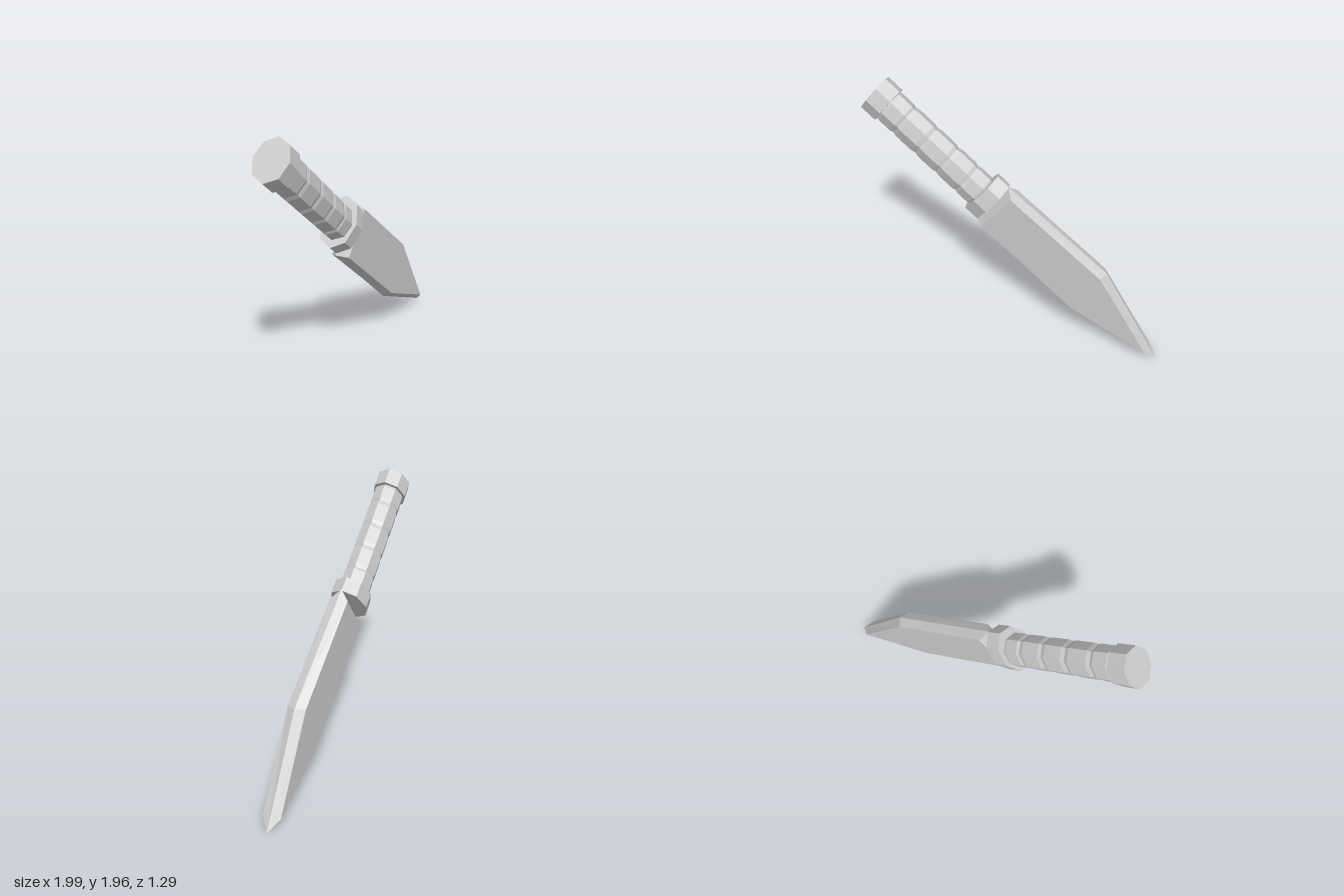
import * as THREE from 'three';

const material = new THREE.MeshStandardMaterial({ color: 0xcccccc, flatShading: true });

// Eight-sided oval part turned along the knife's long axis (+x).
// profile: [position along axis, radius] pairs; flat: width across the blade's thickness
function turnedPart(name, profile, flat) {
  const points = profile.map(([t, r]) => new THREE.Vector2(r, t));
  const geometry = new THREE.LatheGeometry(points, 8);
  geometry.rotateZ(-Math.PI / 2);
  geometry.scale(1, 1, flat);
  const mesh = new THREE.Mesh(geometry, material);
  mesh.name = name;
  return mesh;
}

// Blade: two flat cheeks bevelled down to a wider outline on the middle plane
function blade() {
  const cheek = [[1.21, -0.188], [2.134, -0.18], [2.769, -0.008], [2.071, 0.221], [1.205, 0.189]];
  const rim = [[1.13, -0.21], [2.145, -0.216], [2.877, -0.023], [2.09, 0.25], [1.13, 0.208]];
  const half = 0.068;
  const n = cheek.length;
  const positions = [];
  const triangle = (...corners) => corners.forEach((c) => positions.push(...c));

  for (const side of [1, -1]) {
    const inner = cheek.map(([x, y]) => [x, y, side * half]);
    const outer = rim.map(([x, y]) => [x, y, 0]);
    const face = (a, b, c) => (side > 0 ? triangle(a, b, c) : triangle(a, c, b));
    for (let i = 0; i < n; i++) {
      const j = (i + 1) % n;
      face(outer[i], outer[j], inner[j]);
      face(outer[i], inner[j], inner[i]);
      if (i > 0 && j > 0) face(inner[0], inner[i], inner[j]);
    }
  }
  const geometry = new THREE.BufferGeometry();
  geometry.setAttribute('position', new THREE.Float32BufferAttribute(positions, 3));
  geometry.computeVertexNormals();
  const mesh = new THREE.Mesh(geometry, material);
  mesh.name = 'blade';
  mesh.position.z = 0.004;
  return mesh;
}

export function createModel() {
  const knife = new THREE.Group();
  knife.name = 'knife';

  // End cap of the handle
  knife.add(turnedPart('pommel', [[0, 0], [0, 0.155], [0.13, 0.155], [0.13, 0]], 0.84));

  // Grip sections, each slightly flared at its joints
  const joints = [0.13, 0.28, 0.49, 0.69, 0.885, 1.03];
  for (let i = 0; i < joints.length - 1; i++) {
    const [a, b] = [joints[i], joints[i + 1]];
    const profile = [[a, 0], [a, 0.128], [a + (b - a) * 0.15, 0.137], [b - (b - a) * 0.15, 0.137], [b, 0.128], [b, 0]];
    knife.add(turnedPart('gripSection' + (i + 1), profile, 0.84));
  }

  // Guard between grip and blade
  const guard = turnedPart('guard', [[1.025, 0], [1.025, 0.2], [1.14, 0.2], [1.14, 0]], 0.7);
  guard.position.y = 0.008;
  knife.add(guard);

  knife.add(blade());

  // Lay the knife point down: swing to its heading, then tilt the blade downward
  const heading = Math.atan2(0.527, 0.85);
  knife.rotation.set(0, heading, -Math.atan2(0.635, 0.773), 'YZX');
  knife.position.set(-0.883, 1.843, 0.53);

  const model = new THREE.Group();
  model.name = 'model';
  model.add(knife);
  return model;
}
